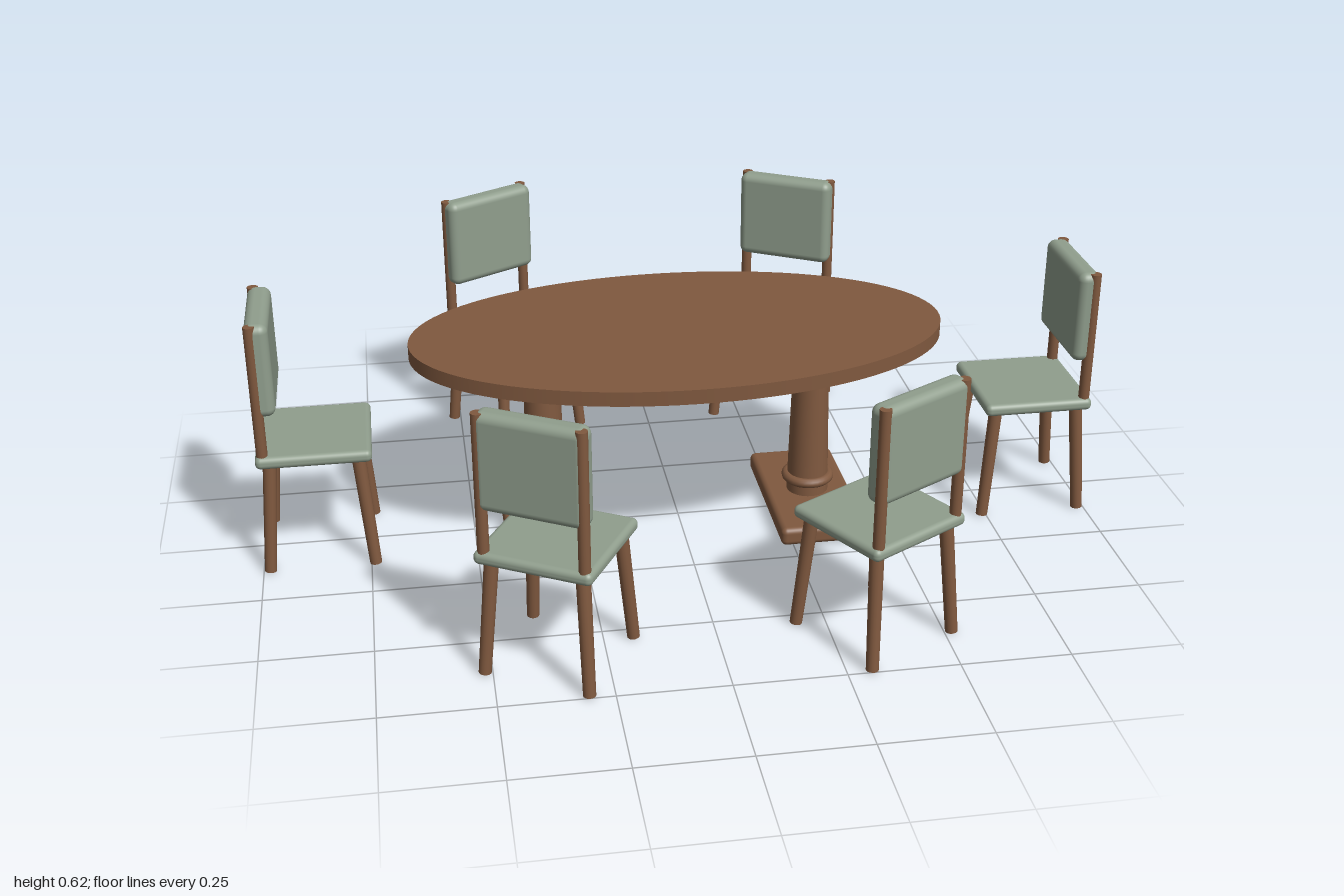
import * as THREE from 'three';
import { RoundedBoxGeometry } from 'three/addons/geometries/RoundedBoxGeometry.js';

const wood = new THREE.MeshStandardMaterial({ color: 0x80593f });
wood.name = 'brown wood';
const fabric = new THREE.MeshStandardMaterial({ color: 0x909e8d });
fabric.name = 'sage fabric';

function add(parent, name, geometry, material, x = 0, y = 0, z = 0) {
  const mesh = new THREE.Mesh(geometry, material);
  mesh.name = name;
  mesh.position.set(x, y, z);
  parent.add(mesh);
  return mesh;
}

// Round rod between two points, with its own radius at each end
function rod(parent, name, from, to, r0, r1) {
  const a = new THREE.Vector3(...from), b = new THREE.Vector3(...to);
  const dir = b.clone().sub(a);
  const mesh = add(parent, name, new THREE.CylinderGeometry(r1, r0, dir.length(), 16), wood);
  mesh.position.copy(a).add(b).multiplyScalar(0.5);
  mesh.quaternion.setFromUnitVectors(new THREE.Vector3(0, 1, 0), dir.normalize());
}

// Chair with its backrest on +x
function createChair() {
  const chair = new THREE.Group();
  chair.name = 'chair';
  add(chair, 'seat', new RoundedBoxGeometry(0.264, 0.03, 0.27, 4, 0.013), fabric, 0, 0.285, 0);
  for (const sx of [-1, 1]) {
    for (const sz of [-1, 1]) {
      rod(chair, 'leg', [sx * 0.122, 0, sz * 0.122], [sx * 0.1, 0.28, sz * 0.104], 0.014, 0.016);
    }
  }
  for (const sz of [-1, 1]) {
    rod(chair, 'backPost', [0.115, 0.28, sz * 0.115], [0.115, 0.62, sz * 0.115], 0.013, 0.013);
  }
  add(chair, 'backCushion', new RoundedBoxGeometry(0.054, 0.226, 0.25, 4, 0.02), fabric, 0.101, 0.509, 0);
  return chair;
}

// Pedestal: slab foot, turned collar and tapering column
function createPedestal() {
  const pedestal = new THREE.Group();
  pedestal.name = 'pedestal';
  add(pedestal, 'foot', new RoundedBoxGeometry(0.21, 0.046, 0.41, 4, 0.014), wood, 0, 0.023, 0);
  add(pedestal, 'column', new THREE.CylinderGeometry(0.041, 0.051, 0.43, 32), wood, 0, 0.255, 0);
  const collar = add(pedestal, 'collar', new THREE.TorusGeometry(0.052, 0.012, 12, 32), wood, 0, 0.083, 0);
  collar.rotation.x = Math.PI / 2;
  return pedestal;
}

export function createModel() {
  const model = new THREE.Group();
  model.name = 'diningSet';

  // Table
  const table = new THREE.Group();
  table.name = 'table';
  const top = add(table, 'tableTop', new THREE.CylinderGeometry(1, 1, 0.035, 96), wood, 0, 0.4825, 0);
  top.scale.set(0.632, 1, 0.34);
  for (const s of [-1, 1]) {
    const pedestal = createPedestal();
    pedestal.position.x = s * 0.325;
    table.add(pedestal);
  }
  model.add(table);

  // Six chairs: one at each end, two along each long side
  for (const degrees of [0, 60, 120, 180, 240, 300]) {
    const angle = THREE.MathUtils.degToRad(degrees);
    const chair = createChair();
    const atEnd = degrees % 180 === 0;
    chair.position.set(
      Math.sign(Math.cos(angle)) * (atEnd ? 0.862 : 0.35), 0,
      atEnd ? 0 : -Math.sign(Math.sin(angle)) * 0.575);
    chair.rotation.y = angle;
    model.add(chair);
  }
  return model;
}
